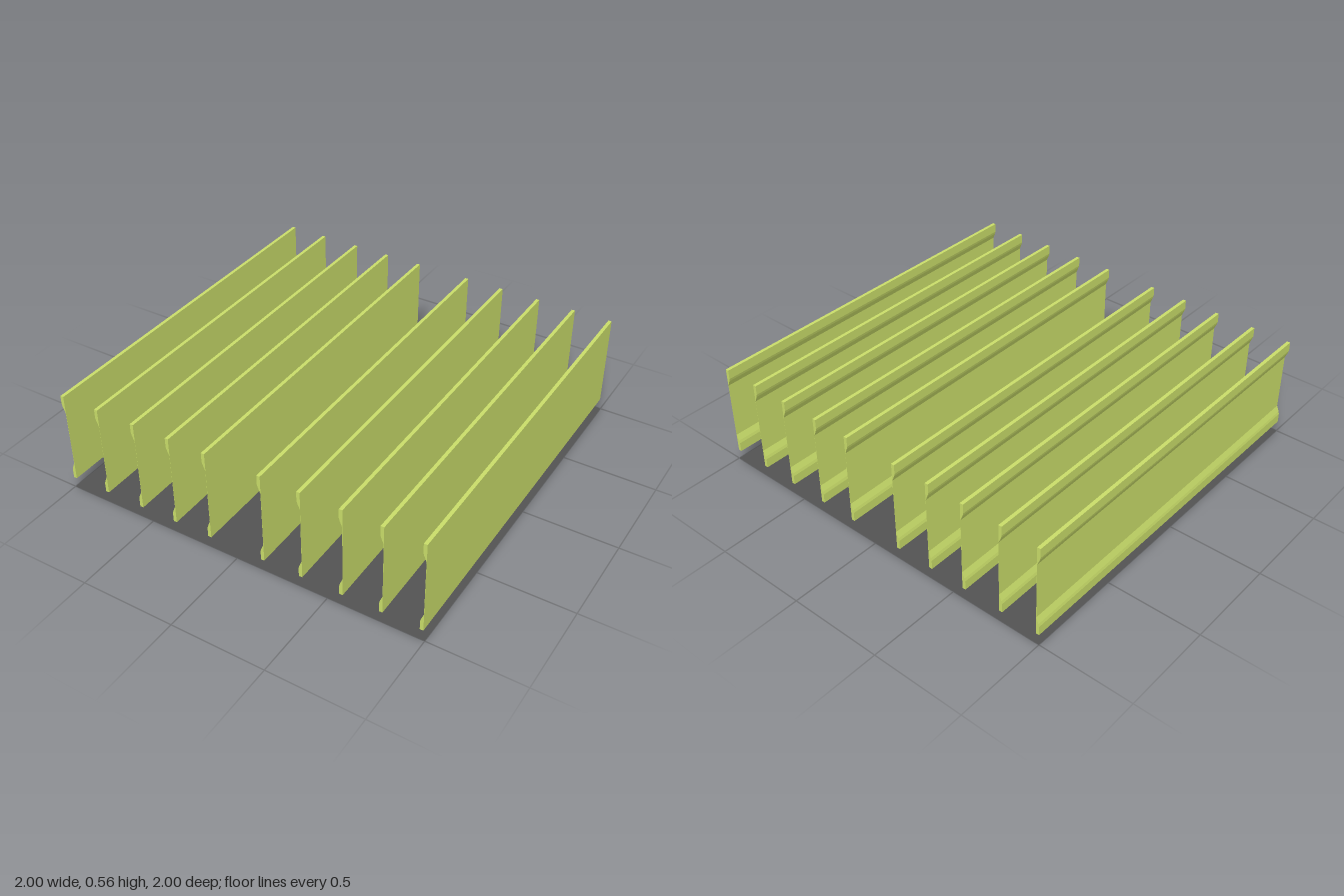
import * as THREE from 'three';

export function createModel() {
  const model = new THREE.Group();
  const railMaterial = new THREE.MeshStandardMaterial({ color: 0xc8dc69, flatShading: true });
  const baseMaterial = new THREE.MeshStandardMaterial({ color: 0x525252, side: THREE.DoubleSide });

  // Paper-thin base sheet
  const base = new THREE.Mesh(new THREE.PlaneGeometry(2, 2).rotateX(-Math.PI / 2), baseMaterial);
  base.name = 'baseSheet';
  model.add(base);

  // Rail section: flat on the +x side, bevelled flanges joined by a thin web
  const width = 0.018, web = 0.001;
  const section = new THREE.Shape([
    [0, 0.06], [0, 0.56], [-width, 0.56], [-width, 0.51], [-0.014, 0.495], [-web, 0.463],
    [-web, 0.157], [-0.014, 0.125], [-width, 0.11], [-width, 0.06],
  ].map(([x, y]) => new THREE.Vector2(x, y)));
  const railGeometry = new THREE.ExtrudeGeometry(section, { depth: 2, bevelEnabled: false });
  railGeometry.translate(0, 0, -1);

  // Two banks of five rails with a wider gap between them
  const offsets = [0, 0.209, 0.425, 0.63, 0.835];
  for (const [name, start] of [['rightRails', -0.982], ['leftRails', 0.156]]) {
    const bank = new THREE.Group();
    bank.name = name;
    offsets.forEach((offset, i) => {
      const rail = new THREE.Mesh(railGeometry, railMaterial);
      rail.name = `rail${i + 1}`;
      rail.position.x = start + offset;
      bank.add(rail);
    });
    model.add(bank);
  }
  return model;
}
